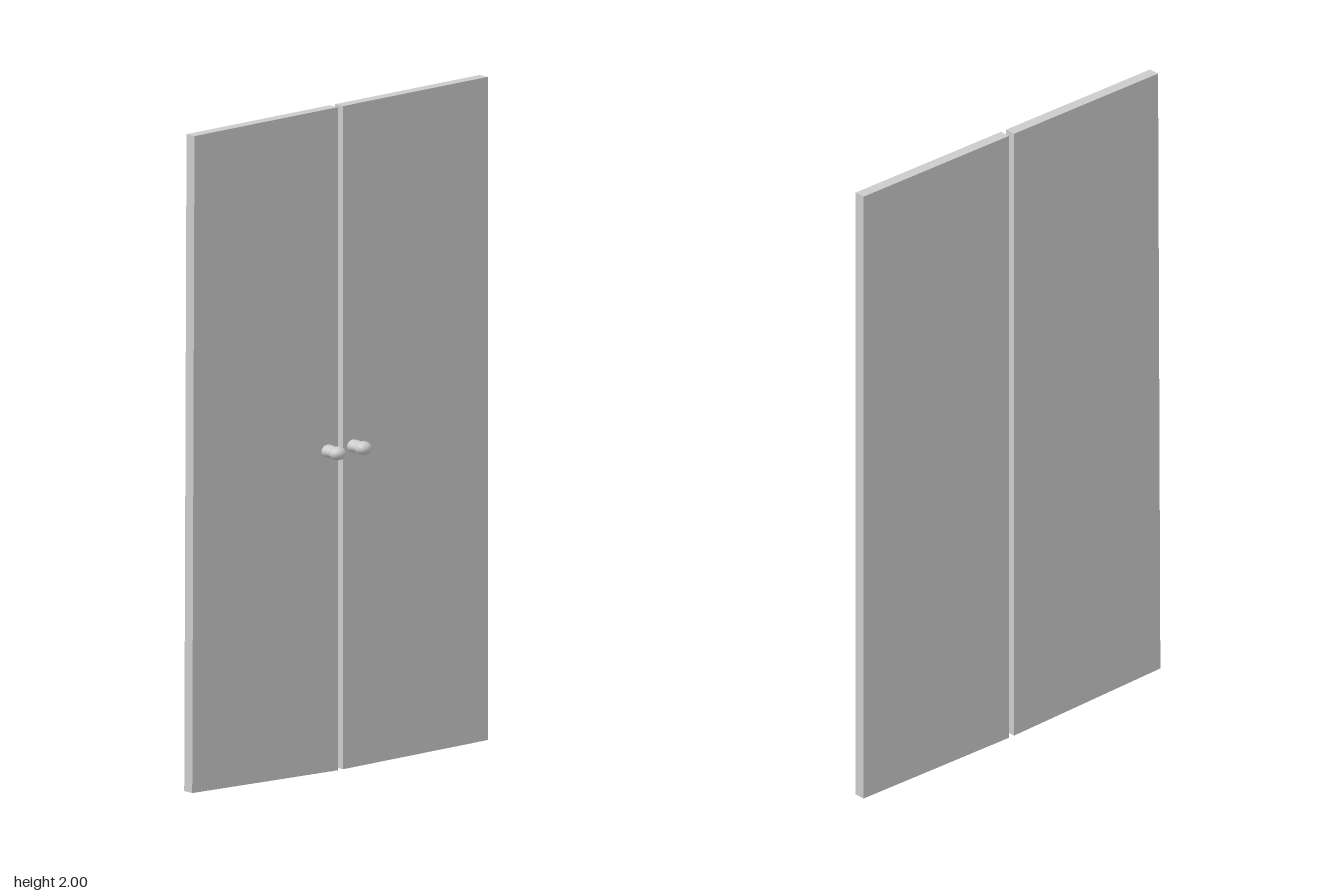
import * as THREE from 'three';

const material = new THREE.MeshStandardMaterial({ color: 0xcccccc });

// Flat door leaf extruded from its outline corners (counter-clockwise)
function door(name, corners) {
  const shape = new THREE.Shape(corners.map(([x, y]) => new THREE.Vector2(x, y)));
  const geometry = new THREE.ExtrudeGeometry(shape, { depth: 0.035, bevelEnabled: false });
  geometry.translate(0, 0, -0.055);
  const mesh = new THREE.Mesh(geometry, material);
  mesh.name = name;
  return mesh;
}

// Turned knob: short neck and a ball, slightly squashed in height
function knob(name, x) {
  const profile = [[0.024, -0.021], [0.024, -0.008], [0.0215, 0.002]]
    .map(([r, h]) => new THREE.Vector2(r, h));
  const radius = 0.026, centre = 0.024, steps = 14;
  for (let i = 0; i <= steps; i++) {
    const a = THREE.MathUtils.lerp(-0.6, Math.PI / 2, i / steps);
    profile.push(new THREE.Vector2(Math.max(0, radius * Math.cos(a)), centre + radius * Math.sin(a)));
  }
  const geometry = new THREE.LatheGeometry(profile, 28);
  geometry.rotateX(Math.PI / 2);
  geometry.scale(1, 0.78, 1);
  const mesh = new THREE.Mesh(geometry, material);
  mesh.name = name;
  mesh.position.set(x, 0.97, 0);
  return mesh;
}

export function createModel() {
  const group = new THREE.Group();
  group.name = 'doubleDoors';

  // The right leaf is slightly out of square along its outer and bottom edges
  group.add(door('leftDoor', [[0.01, 0], [0.584, 0], [0.584, 2], [0.01, 2]]));
  group.add(door('rightDoor', [[-0.588, 0.02], [-0.01, 0], [-0.01, 2], [-0.579, 2]]));

  for (const [name, x] of [['leftKnob', 0.05], ['rightKnob', -0.052]]) group.add(knob(name, x));
  return group;
}
